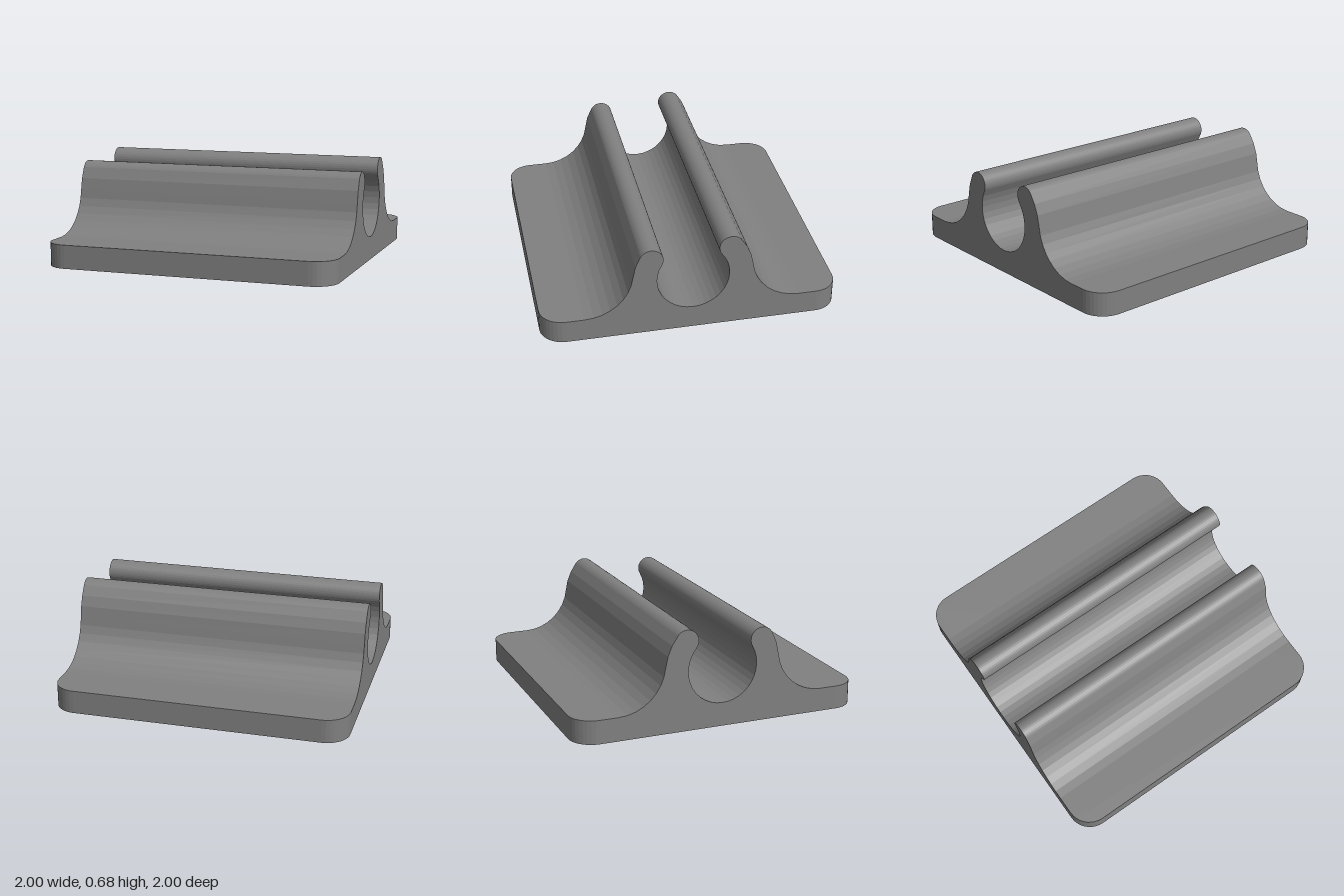
import * as THREE from 'three';

const PLATE = 0.16;        // plate thickness and corner radius
const BORE = 0.24;         // channel radius
const OUTER = 0.4;         // outer radius of the jaws
const TIP = 0.08;          // rounded lip radius
const FILLET = 0.32;       // sweep from jaw to plate
const CY = PLATE + BORE;   // height of the channel axis

const material = new THREE.MeshStandardMaterial({ color: 0x808080 });

// Points along an arc, in facets of about ten degrees
function arc(x, y, r, from, to) {
  const n = Math.round(Math.abs(to - from) / (Math.PI / 18));
  return Array.from({ length: n + 1 }, (_, i) => {
    const t = from + (to - from) * i / n;
    return new THREE.Vector2(x + r * Math.cos(t), y + r * Math.sin(t));
  });
}

function extrude(points, depth) {
  return new THREE.ExtrudeGeometry(new THREE.Shape(points), { depth, bevelEnabled: false });
}

// Base plate with rounded corners
function plateGeometry() {
  const c = 1 - PLATE;
  const points = [[c, c], [-c, c], [-c, -c], [c, -c]].flatMap(([x, y], i) =>
    arc(x, y, PLATE, i * Math.PI / 2, (i + 1) * Math.PI / 2));
  return extrude(points, PLATE).rotateX(-Math.PI / 2);
}

// Half clip: channel wall, lip, outer wall and fillet, all tangent arcs
function jawGeometry(lipAngle, turn) {
  const a = THREE.MathUtils.degToRad(lipAngle);
  const mid = (BORE + OUTER) / 2;
  const rise = PLATE + FILLET - CY;
  const reach = Math.sqrt((OUTER + FILLET) ** 2 - rise ** 2);
  const meet = Math.atan2(rise, reach);

  const points = [
    ...arc(0, CY, BORE, -Math.PI / 2, a),
    ...arc(mid * Math.cos(a), CY + mid * Math.sin(a), TIP, a + Math.PI, a).slice(1),
    ...arc(0, CY, OUTER, a, meet).slice(1),
    ...arc(reach, PLATE + FILLET, FILLET, meet + Math.PI, Math.PI * 1.5).slice(1),
  ];
  return extrude(points, 2).translate(0, 0, -1).rotateY(turn);
}

export function createModel() {
  const group = new THREE.Group();
  group.name = 'clipHolder';
  const add = (name, geometry) => {
    const mesh = new THREE.Mesh(geometry, material);
    mesh.name = name;
    group.add(mesh);
  };
  add('basePlate', plateGeometry());
  add('frontJaw', jawGeometry(30, -Math.PI / 2));
  add('backJaw', jawGeometry(38.7, Math.PI / 2)); // slightly taller lip
  return group;
}
